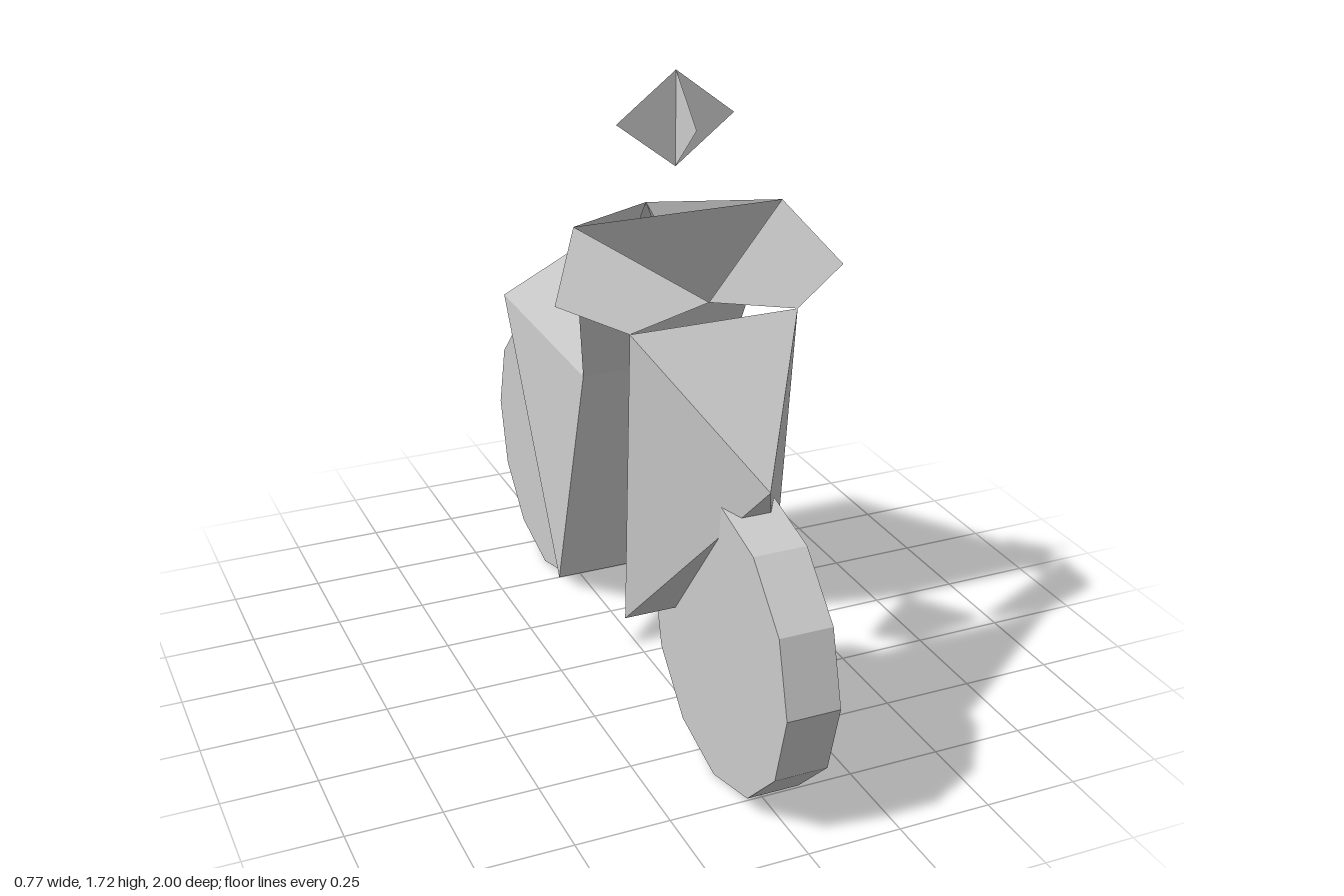
import * as THREE from 'three';

const material = new THREE.MeshStandardMaterial({
  color: 0xcccccc, flatShading: true, side: THREE.DoubleSide,
});

// Thin panel built from convex corner loops, each split into a fan of triangles
function panel(name, ...faces) {
  const positions = [];
  for (const f of faces) {
    for (let i = 1; i < f.length - 1; i++) positions.push(...f[0], ...f[i], ...f[i + 1]);
  }
  const geometry = new THREE.BufferGeometry();
  geometry.setAttribute('position', new THREE.Float32BufferAttribute(positions, 3));
  geometry.computeVertexNormals();
  const mesh = new THREE.Mesh(geometry, material);
  mesh.name = name;
  return mesh;
}

function wheel(name, z) {
  const geometry = new THREE.CylinderGeometry(0.385, 0.385, 0.14, 12);
  geometry.rotateZ(Math.PI / 2);
  const mesh = new THREE.Mesh(geometry, material);
  mesh.name = name;
  mesh.position.set(0, 0.387, z);
  return mesh;
}

export function createModel() {
  const model = new THREE.Group();
  model.name = 'motorcycleAndRider';

  // Wheels
  model.add(wheel('frontWheel', 0.615), wheel('rearWheel', -0.615));

  // Corner pairs, s = 1 is the left side and s = -1 the right
  const shoulder = s => [s * 0.28, 1.37, 0.225];
  const elbow = s => [s * 0.383, 1.23, 0.365];
  const grip = s => [s * 0.222, 1.16, 0.435];
  const waist = s => [s * 0.207, 0.915, 0.088];
  const tail = s => [s * 0.225, 0.95, -0.472];
  const foot = s => [s * 0.245, 0.287, -0.015];
  const fork = s => [s * 0.21, 0.357, 0.37];
  const neck = [0, 1.335, 0.012];
  const nose = [0, 0.845, 0.75];
  const handleCentre = [0, 1.196, 0.399];

  // Front fairing, open at the back
  model.add(panel('frontFairing',
    [grip(-1), nose, grip(1)],
    [nose, fork(-1), fork(1)],
    [grip(1), nose, fork(1)],
    [grip(-1), fork(-1), nose]));

  // Arms and body sides
  for (const s of [1, -1]) {
    const side = s > 0 ? 'left' : 'right';
    model.add(panel(side + 'Arm', [shoulder(s), elbow(s), grip(s), handleCentre]));
    model.add(panel(side + 'BodySide',
      [neck, shoulder(s), waist(s)],
      [neck, waist(s), tail(s)],
      [waist(s), foot(s), tail(s)]));
  }

  // Chest, leg front and rear, with an open neck
  model.add(panel('chest', [shoulder(-1), waist(-1), waist(1), shoulder(1)]));
  model.add(panel('legFront', [waist(-1), foot(-1), foot(1), waist(1)]));
  model.add(panel('legRear', [tail(1), foot(1), foot(-1), tail(-1)]));

  // Lopsided back, folded along the diagonal from left shoulder to right tail
  model.add(panel('back',
    [shoulder(1), tail(1), tail(-1)],
    [shoulder(1), tail(-1), neck]));

  // Head made of two crossed diamonds
  const top = [0, 1.72, 0.195], bottom = [0, 1.48, 0.195];
  model.add(panel('head',
    [top, [-0.156, 1.6, 0.195], bottom, [0.156, 1.6, 0.195]],
    [top, [0, 1.6, 0.317], bottom, [0, 1.6, 0.073]]));

  return model;
}
